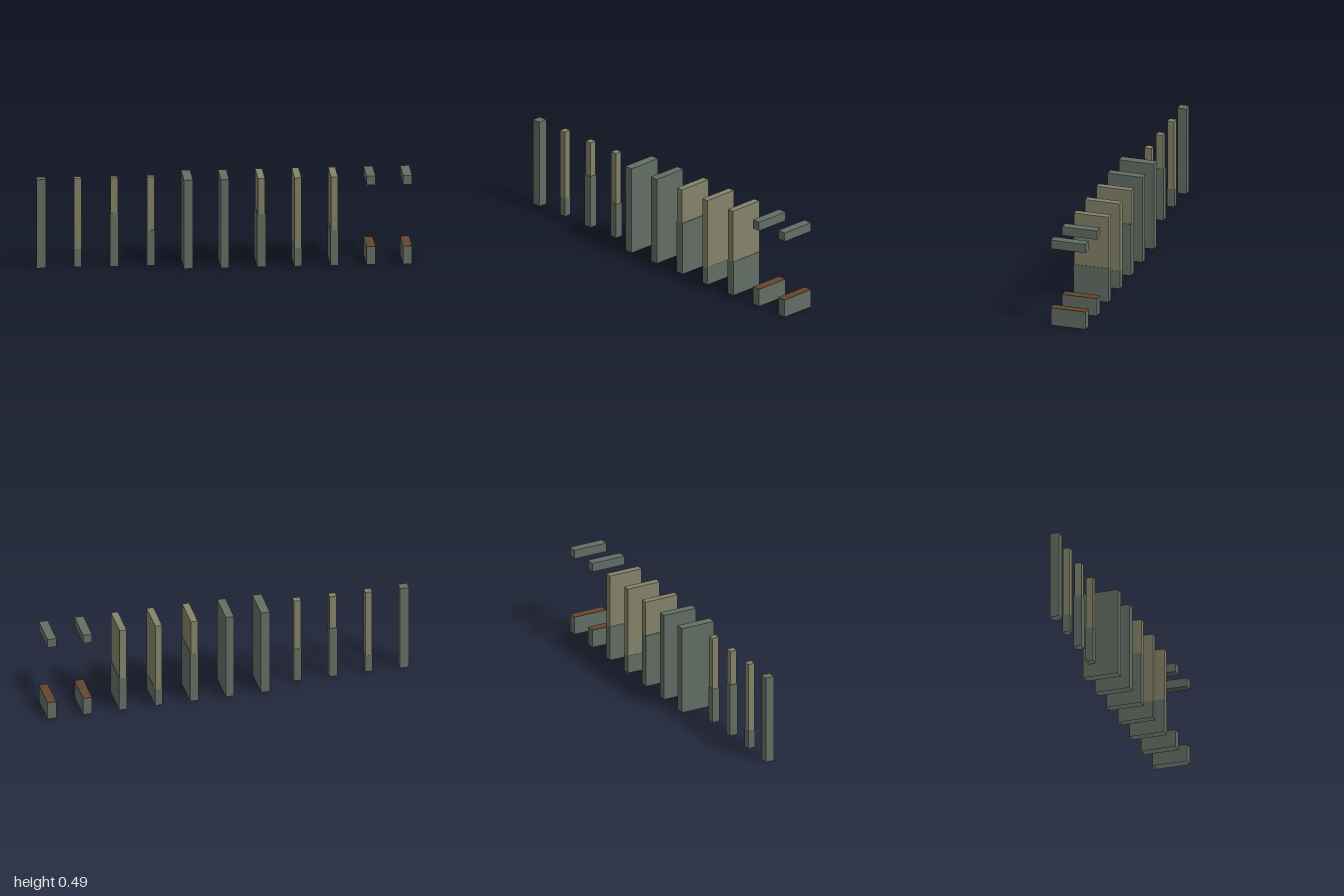
import * as THREE from 'three';

const DEPTH = 0.195; // full wall depth, also the spacing of the row
const TOP = 0.49;

// Box standing from y0 to y1; open leaves out the underside.
function box(w, d, y0, y1, open) {
  const g = new THREE.BoxGeometry(w, y1 - y0, d);
  if (open) {
    const index = Array.from(g.index.array);
    index.splice(18, 6);
    g.setIndex(index);
    g.clearGroups();
  }
  g.translate(0, (y0 + y1) / 2, 0);
  return g;
}

export function createModel() {
  const stone = new THREE.MeshStandardMaterial({ color: 0x636e64, side: THREE.DoubleSide });
  stone.name = 'grey green';
  const sand = new THREE.MeshStandardMaterial({ color: 0x84836a, side: THREE.DoubleSide });
  sand.name = 'sand';
  const brown = new THREE.MeshStandardMaterial({ color: 0x64452f });
  brown.name = 'brown';

  const model = new THREE.Group();
  model.name = 'wallStages';

  const add = (parent, name, geometry, material) => {
    const mesh = new THREE.Mesh(geometry, material);
    mesh.name = name;
    parent.add(mesh);
  };

  // One entry per piece, from the right end (-x) to the left end (+x)
  const pieces = [
    { name: 'post', w: 0.05, d: 0.05, h: TOP },
    { name: 'post', w: 0.04, d: 0.04, h: 0.1 },
    { name: 'post', w: 0.046, d: 0.046, h: 0.295 },
    { name: 'post', w: 0.043, d: 0.043, h: 0.195 },
    { name: 'wall', w: 0.049, d: DEPTH, h: TOP },
    { name: 'wall', w: 0.045, d: DEPTH, h: TOP },
    { name: 'wall', w: 0.046, d: DEPTH, h: 0.295 },
    { name: 'wall', w: 0.04, d: DEPTH, h: 0.1 },
    { name: 'wall', w: 0.043, d: DEPTH, h: 0.195 },
    { name: 'gate', w: 0.049, d: DEPTH, h: 0.1 },
    { name: 'gate', w: 0.049, d: DEPTH, h: 0.1 },
  ];

  pieces.forEach(({ name, w, d, h }, i) => {
    const piece = new THREE.Group();
    piece.name = name + (i + 1);
    piece.position.x = (i - 5) * DEPTH;
    model.add(piece);

    if (name === 'gate') {
      // low sill with a thin brown cover, and a floating lintel
      add(piece, 'sill', box(w, d, 0, h - 0.003, true), stone);
      add(piece, 'sillCover', box(w, d, h - 0.003, h, false), brown);
      add(piece, 'lintel', box(w, d, 0.44, TOP, false), stone);
      return;
    }
    add(piece, 'base', box(w, d, 0, h, true), stone);
    // slimmer sand coloured upper part
    if (h < TOP) add(piece, 'upper', box(0.038, name === 'post' ? 0.038 : d, h, TOP, true), sand);
  });
  return model;
}
